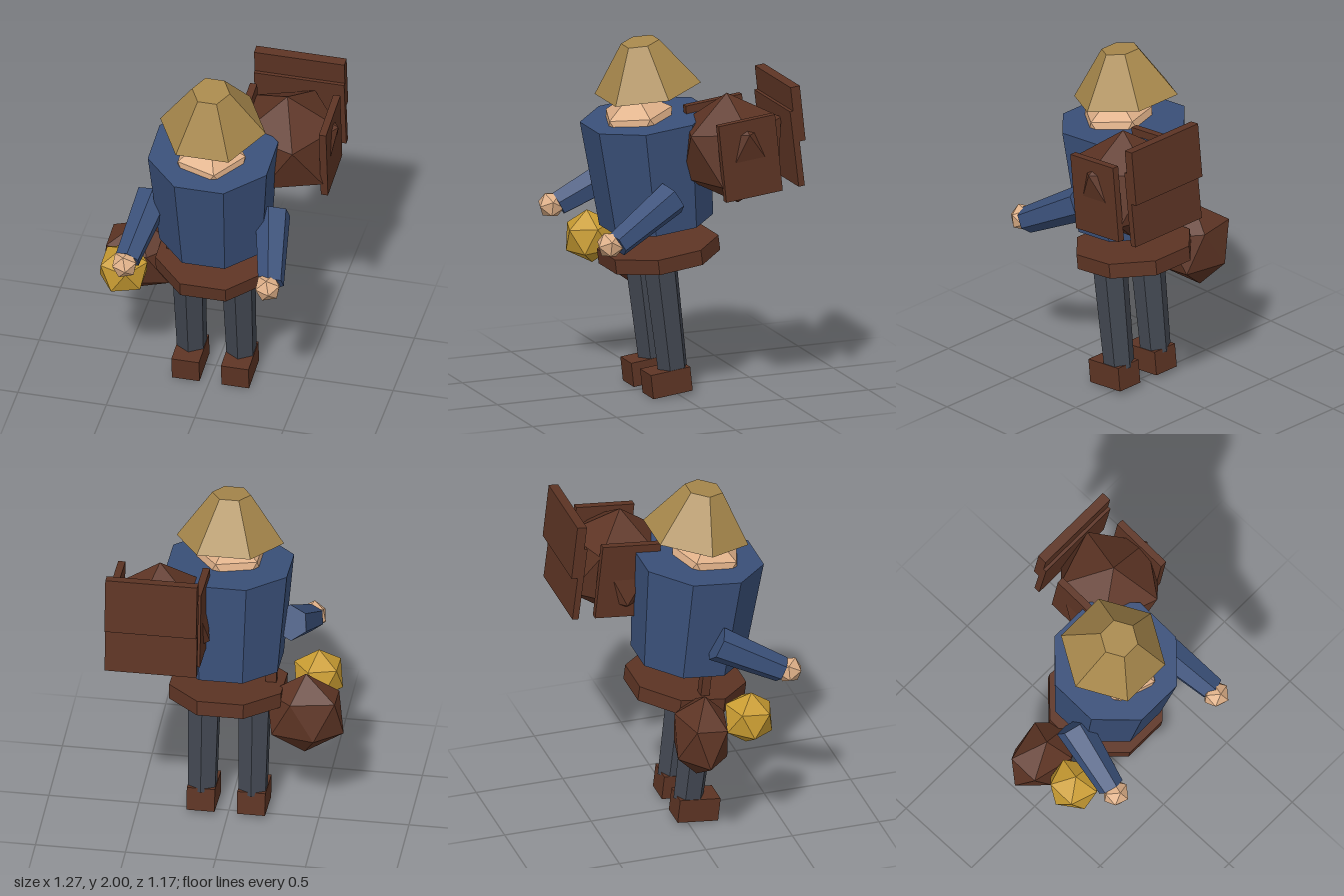
import * as THREE from 'three';

export function createModel() {
  const model = new THREE.Group();
  model.name = 'traveller';

  const paint = (name, color) => {
    const m = new THREE.MeshStandardMaterial({ color, flatShading: true });
    m.name = name;
    return m;
  };
  const straw = paint('straw', 0xa8884c);
  const skin = paint('skin', 0xdfb088);
  const coat = paint('blue cloth', 0x3a5079);
  const trousers = paint('grey cloth', 0x424751);
  const leather = paint('brown leather', 0x5d3424);
  const gold = paint('gold', 0xc99c32);

  const LEAN = 0.105; // the whole figure leans forward

  const add = (name, geometry, material, x, y, z, lean = LEAN) => {
    const mesh = new THREE.Mesh(geometry, material);
    mesh.name = name;
    mesh.position.set(x, y, z);
    mesh.rotation.x = lean;
    model.add(mesh);
    return mesh;
  };

  // Icosahedron standing on one corner
  const gem = (radius) => new THREE.IcosahedronGeometry(radius, 0)
    .rotateZ(-Math.atan(2 / (1 + Math.sqrt(5))));

  // Prism with a flat side facing the front
  const prism = (top, bottom, height, sides) =>
    new THREE.CylinderGeometry(top, bottom, height, sides, 1, false, Math.PI / sides);

  // Hat, head, coat and belt
  add('hat', prism(0.107, 0.298, 0.273, 6), straw, 0.008, 1.851, 0.131, 0.17);
  add('head', gem(0.22), skin, 0.012, 1.495, 0.165, 0.13);
  add('torso', prism(0.363, 0.314, 0.6, 8), coat, 0.012, 1.263, 0.092);
  add('belt', prism(0.336, 0.336, 0.085, 8), leather, 0.01, 0.793, 0.045, 0.125);
  add('beltStrap', new THREE.BoxGeometry(0.06, 0.3, 0.05), leather, -0.225, 0.82, 0.075);

  // Legs and boots
  for (const [side, x] of [['right', -0.132], ['left', 0.148]]) {
    add(side + 'Leg', new THREE.CylinderGeometry(0.098, 0.086, 0.64, 6), trousers, x, 0.455, 0.057, 0.12);
    add(side + 'Boot', new THREE.BoxGeometry(0.156, 0.137, 0.235), leather, x, 0.086, 0.056, 0.11);
  }

  // Arms run from shoulder to wrist, each ending in a faceted hand
  const arms = [
    ['right', [-0.325, 1.19, 0.12], [-0.388, 1.0, 0.475], [-0.394, 0.995, 0.515]],
    ['left', [0.345, 1.175, 0.105], [0.422, 0.965, 0.465], [0.412, 0.965, 0.502]],
  ];
  for (const [side, from, to, hand] of arms) {
    const shoulder = new THREE.Vector3(...from);
    const axis = shoulder.clone().sub(new THREE.Vector3(...to));
    const geometry = new THREE.CylinderGeometry(0.1, 0.074, axis.length(), 6);
    const arm = add(side + 'Arm', geometry, coat, 0, 0, 0);
    arm.position.copy(shoulder).addScaledVector(axis, -0.5);
    arm.quaternion.setFromUnitVectors(new THREE.Vector3(0, 1, 0), axis.normalize());
    add(side + 'Hand', gem(0.078), skin, ...hand, 0.5);
  }

  // Hip sack and lantern
  add('hipSack', gem(0.24).scale(1, 1, 0.7), leather, -0.425, 0.69, -0.005);
  add('lantern', gem(0.152), gold, -0.46, 0.775, 0.26);

  // Shoulder pack: bundle held between boards
  add('packBundle', gem(0.317), leather, 0.35, 1.425, -0.252);
  for (const x of [0.115, 0.585]) {
    add('packSideBoard', new THREE.BoxGeometry(0.04, 0.44, 0.337), leather, x, 1.425, -0.255);
  }
  add('packBackBoard', new THREE.BoxGeometry(0.51, 0.435, 0.036), leather, 0.35, 1.453, -0.533, 0.12);
  add('packLid', new THREE.BoxGeometry(0.51, 0.315, 0.055), leather, 0.35, 1.65, -0.537, 0.11);

  return model;
}
